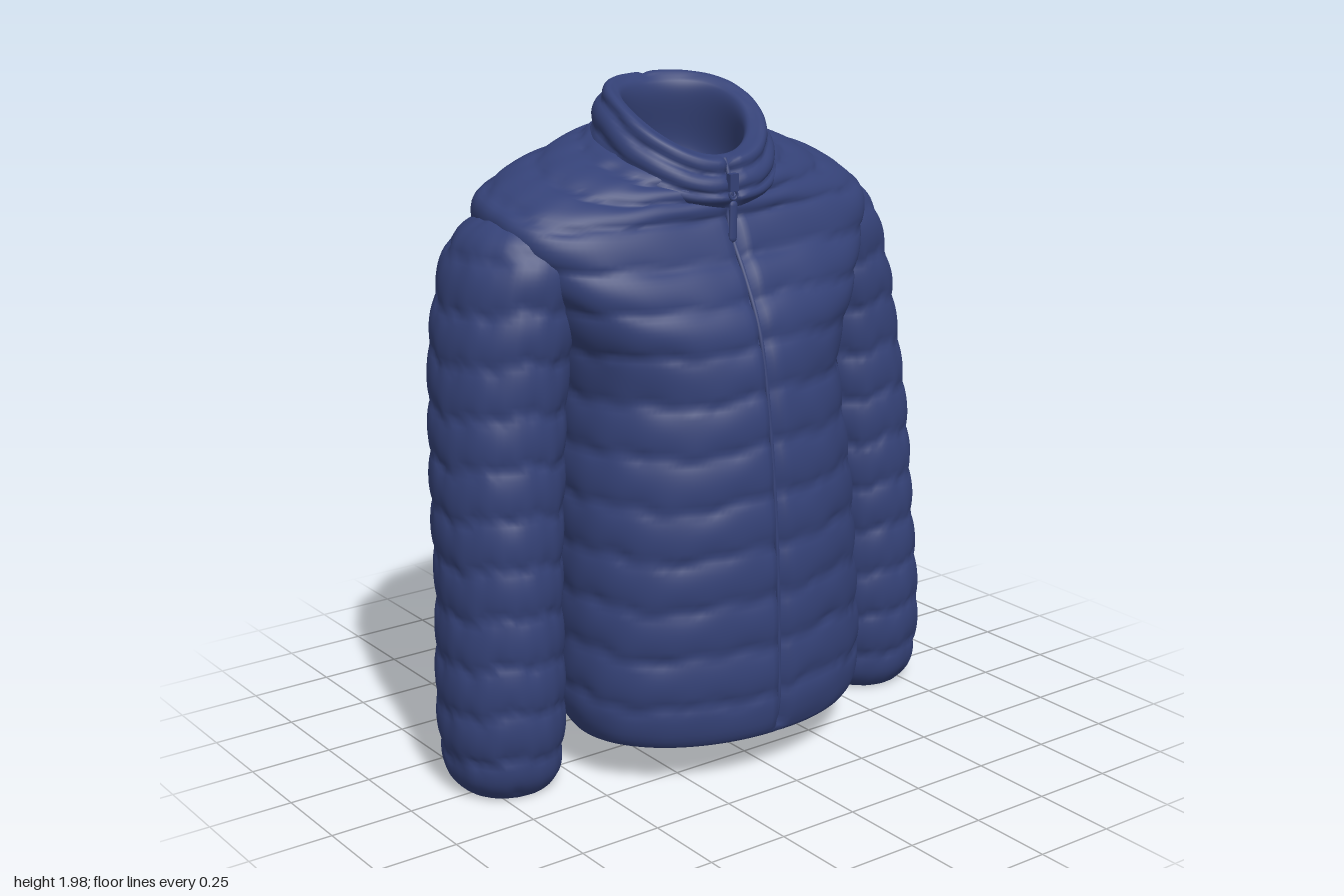
import * as THREE from 'three';

const { smoothstep } = THREE.MathUtils;
const fabric = new THREE.MeshStandardMaterial({ color: 0x344176 });
fabric.name = 'navy fabric';

// Rings, bottom to top: [y, halfWidth, zFront, zBack, tilt]
const bodyShell = [
  [0.135, 0.46, 0.41, -0.235],
  [0.22, 0.495, 0.433, -0.28],
  [0.40, 0.495, 0.433, -0.295],
  [0.80, 0.475, 0.412, -0.32],
  [1.20, 0.46, 0.36, -0.385],
  [1.35, 0.50, 0.325, -0.415, 0.03],
  [1.50, 0.57, 0.26, -0.428, 0.08],
  [1.60, 0.62, 0.21, -0.41, 0.14],
  [1.67, 0.62, 0.185, -0.38, 0.2],
  [1.73, 0.52, 0.175, -0.35, 0.26],
  [1.82, 0.25, 0.16, -0.28, 0.34],
];
// Collar: outside, over the rim, then down the inside to a closed bowl
const collarRings = [
  [1.74, 0.26, 0.18, -0.31, 0.34],
  [1.78, 0.27, 0.20, -0.315, 0.37],
  [1.85, 0.25, 0.185, -0.285, 0.45],
  [1.89, 0.22, 0.165, -0.25, 0.48],
  [1.88, 0.185, 0.12, -0.22, 0.48],
  [1.70, 0.18, 0.105, -0.23, 0.3],
  [1.58, 0.001, -0.059, -0.061],
];
// Sleeve: [y, halfWidth, zFront, zBack, centreX]
const sleeveShell = [
  [0.008, 0.122, 0.11, -0.15, 0.677],
  [0.05, 0.155, 0.145, -0.185, 0.68],
  [0.13, 0.171, 0.165, -0.205, 0.683],
  [0.60, 0.171, 0.157, -0.242, 0.666],
  [0.90, 0.18, 0.135, -0.277, 0.646],
  [1.20, 0.185, 0.112, -0.322, 0.612],
  [1.40, 0.19, 0.107, -0.347, 0.573],
  [1.60, 0.187, 0.075, -0.32, 0.503],
  [1.69, 0.10, -0.06, -0.16, 0.45],
].map(([y, hw, zf, zb, cx]) => [y, hw, zf, zb, 0, cx]);

// Prepends an inset lining that is closed at its top
function withLining(shell, count, inset) {
  const lining = shell.slice(0, count).reverse().map(([y, hw, zf, zb, tilt, cx]) =>
    [y + 0.02, hw - inset, zf - inset, zb + inset, tilt, cx]);
  const [y, , zf, zb, , cx] = lining[0];
  const mid = (zf + zb) / 2;
  return [[y + 0.06, 0.001, mid + 0.001, mid - 0.001, 0, cx], ...lining, ...shell];
}

// Smooth sampler through the rings, parameterised by profile length
function makeProfile(rings) {
  const ts = [0];
  for (let i = 1; i < rings.length; i++) {
    ts.push(ts[i - 1] + Math.hypot(rings[i][0] - rings[i - 1][0], rings[i][1] - rings[i - 1][1]));
  }
  const values = rings.flatMap(([y, hw, zf, zb, tilt = 0, cx = 0]) => [y, hw, zf, zb, tilt, cx]);
  const curve = new THREE.CubicInterpolant(ts, values, 6, new Float32Array(6));
  return { ts, length: ts[ts.length - 1], at: (t) => curve.evaluate(t) };
}

// Body rings are squarer across the shoulder blades
const bodySquareness = (y) => 2.05 + 0.9 * smoothstep(y, 1.15, 1.5) * (1 - smoothstep(y, 1.62, 1.8));

// Quilted skin: closed rings pushed along their normals into padded bands
function quiltedSkin({ rings, padFrom, padTo, around, step, pitch, depth, wrinkle,
  squareness = () => 2.1, bow = 0, seams = false, mirror = false }) {
  const profile = makeProfile(rings);
  const rows = Math.ceil(profile.length / step);
  const start = profile.ts[padFrom], end = profile.ts[padTo];
  const pos = [], index = [];
  const e = 0.004;
  const ringPoint = (u, t) => {
    const [y, hw, zf, zb, tilt, cx] = profile.at(t);
    const c = Math.cos(u), s = Math.sin(u), n = squareness(y);
    const r = Math.pow(Math.pow(Math.abs(c), n) + Math.pow(Math.abs(s), n), -1 / n);
    const dz = (zf - zb) / 2 * s * r;
    const lift = bow * c * c * smoothstep(y, 1.72, 1.88);
    return new THREE.Vector3(cx + hw * c * r, y - tilt * dz + lift, (zf + zb) / 2 + dz);
  };
  for (let j = 0; j <= rows; j++) {
    const t = profile.length * j / rows;
    const puff = smoothstep(t, start, start + 0.05) * (1 - smoothstep(t, end - 0.05, end));
    for (let i = 0; i < around; i++) {
      const u = (i / around) * Math.PI * 2;
      const p = ringPoint(u, t);
      const du = ringPoint(u + e, t).sub(ringPoint(u - e, t));
      const dv = ringPoint(u, Math.min(t + e, profile.length)).sub(ringPoint(u, Math.max(t - e, 0)));
      const normal = dv.cross(du).normalize();
      // stitch lines wander slightly around the body
      const s = (t - start) / pitch + 0.08 * Math.sin(3 * u + 1) + 0.05 * Math.sin(7 * u + t * 5);
      const band = Math.pow(Math.abs(Math.sin(Math.PI * s)), 0.6);
      const crease = Math.sin(19 * u + 4 * Math.floor(s)) + Math.sin(11 * u + 9 * t);
      let push = depth * (band - 0.75) + wrinkle * crease * (1.2 - band);
      if (seams) {
        push -= Math.exp(-Math.pow(p.x / 0.013, 2)) * (p.z > 0 ? 0.028 : 0.007);
      }
      p.addScaledVector(normal, push * puff);
      pos.push(mirror ? -p.x : p.x, p.y, p.z);
    }
  }
  for (let j = 0; j < rows; j++) {
    for (let i = 0; i < around; i++) {
      const a = j * around + i, b = j * around + (i + 1) % around;
      const c = a + around, d = b + around;
      if (mirror) index.push(a, b, c, b, d, c);
      else index.push(a, c, b, b, c, d);
    }
  }
  const g = new THREE.BufferGeometry();
  g.setAttribute('position', new THREE.Float32BufferAttribute(pos, 3));
  g.setIndex(index);
  g.computeVertexNormals();
  return g;
}

export function createModel() {
  const jacket = new THREE.Group();
  jacket.name = 'quiltedJacket';
  const add = (name, geometry, parent = jacket) => {
    const mesh = new THREE.Mesh(geometry, fabric);
    mesh.name = name;
    parent.add(mesh);
    return mesh;
  };

  // Body, collar and sleeves
  add('body', quiltedSkin({ rings: withLining(bodyShell, 5, 0.035), padFrom: 6, padTo: 16,
    around: 160, step: 0.017, pitch: 0.146, depth: 0.014, wrinkle: 0.0022,
    squareness: bodySquareness, seams: true }));
  add('collar', quiltedSkin({ rings: collarRings, padFrom: 0, padTo: 4, around: 96,
    step: 0.008, pitch: 0.062, depth: 0.017, wrinkle: 0.001, bow: 0.04, seams: true }));
  for (const mirror of [false, true]) {
    add(mirror ? 'rightSleeve' : 'leftSleeve', quiltedSkin({ rings: withLining(sleeveShell, 3, 0.025),
      padFrom: 4, padTo: 12, around: 72, step: 0.016, pitch: 0.142, depth: 0.013,
      wrinkle: 0.0025, mirror }));
  }

  // Zip running up the front edge and over the collar
  const frontPoint = ([y, , zf, zb, tilt = 0]) =>
    new THREE.Vector3(0, y - tilt * (zf - zb) / 2, zf - 0.024);
  const zipPath = new THREE.CatmullRomCurve3(
    [...bodyShell.slice(0, 9), ...collarRings.slice(0, 4)].map(frontPoint));
  add('zip', new THREE.TubeGeometry(zipPath, 90, 0.007, 6));

  // Zip slider with a hanging pull
  const pull = new THREE.Group();
  pull.name = 'zipPull';
  pull.position.set(-0.012, 1.73, 0.195);
  add('slider', new THREE.BoxGeometry(0.03, 0.05, 0.02), pull);
  const ring = add('pullRing', new THREE.TorusGeometry(0.013, 0.004, 6, 16), pull);
  ring.position.set(0, -0.035, 0.004);
  const tab = add('pullTab', new THREE.CapsuleGeometry(0.014, 0.09, 4, 10), pull);
  tab.scale.z = 0.5;
  tab.position.set(-0.004, -0.11, 0.008);
  tab.rotation.set(-0.05, 0, -0.06);
  jacket.add(pull);

  return jacket;
}
